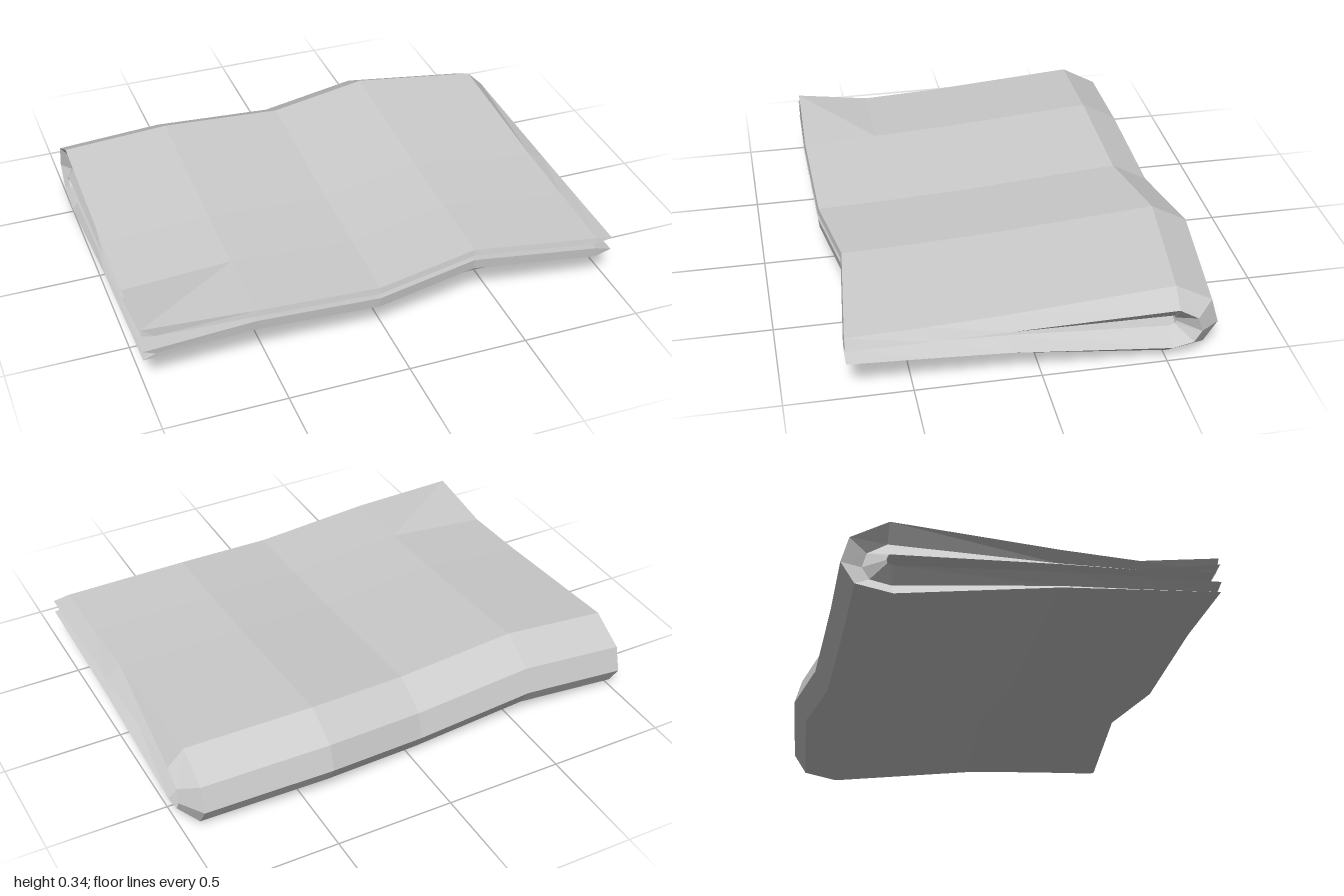
import * as THREE from 'three';

// Fold cross-section as [z, y], from the upper front edge round the back fold to the lower front edge
const OUTER = [[0.75, 0.23], [0.43, 0.24], [0.12, 0.255], [-0.54, 0.305], [-0.69, 0.222], [-0.72, 0.115],
  [-0.665, 0.03], [-0.52, 0.003], [0.12, 0.093], [0.43, 0.115], [0.75, 0.137]];
const INNER = [[0.755, 0.205], [0.43, 0.2], [0.12, 0.193], [-0.54, 0.165], [-0.545, 0.155], [-0.55, 0.14],
  [-0.545, 0.128], [-0.52, 0.12], [0.12, 0.16], [0.43, 0.172], [0.755, 0.182]];

// Stations across the width: [x, lift in y, shift in z]
const STATIONS = [[-1, 0, 0], [-0.55, 0.035, 0.012], [-0.03, 0, 0.003], [0.4, 0.04, -0.05], [0.93, 0, 0]];
const RIDGE_LEFT = -0.95, RIDGE_RIGHT = 1;

function point([z, y], [x, dy, dz], k) {
  const flap = k === 0 && x === -1 ? 0.055 : 0; // curled upper corner
  return new THREE.Vector3(x, y + dy + flap, z + dz);
}

function foldedCloth() {
  const n = STATIONS.length, last = OUTER.length - 1;

  // One closed ring per profile point: outer sheet, right ridge, inner sheet back, left ridge
  const rings = OUTER.map((o, k) => {
    const outer = STATIONS.map(s => point(o, s, k));
    const inner = STATIONS.map(s => point(INNER[k], s, k));
    const ridge = (j, x) => outer[j].clone().lerp(inner[j], 0.5).setX(x);
    return [...outer, ridge(n - 1, RIDGE_RIGHT), ...inner.reverse(), ridge(0, RIDGE_LEFT)];
  });

  const positions = [];
  const tri = (...pts) => pts.forEach(p => positions.push(p.x, p.y, p.z));
  const quad = (a, b, c, d) => { tri(a, b, c); tri(a, c, d); };

  // Sheet surfaces and edge bevels
  const size = 2 * n + 2;
  for (let k = 0; k < last; k++) {
    for (let j = 0; j < size; j++) {
      const m = (j + 1) % size;
      quad(rings[k][j], rings[k][m], rings[k + 1][m], rings[k + 1][j]);
    }
  }

  // Front edges of the upper and lower layers
  for (const k of [0, last]) {
    const ring = rings[k];
    const face = (a, b, c) => (k === 0 ? tri(a, b, c) : tri(a, c, b));
    const out = j => ring[j], inn = j => ring[2 * n - j];
    const left = ring[size - 1], right = ring[n];
    face(out(0), left, out(1));
    face(left, inn(0), inn(1));
    face(left, inn(1), out(1));
    for (let j = 1; j < n - 1; j++) {
      face(out(j), inn(j), inn(j + 1));
      face(out(j), inn(j + 1), out(j + 1));
    }
    face(out(n - 1), inn(n - 1), right);
  }

  const geometry = new THREE.BufferGeometry();
  geometry.setAttribute('position', new THREE.Float32BufferAttribute(positions, 3));
  geometry.computeVertexNormals();
  return geometry;
}

export function createModel() {
  const group = new THREE.Group();
  group.name = 'foldedBlanket';
  const material = new THREE.MeshStandardMaterial({ color: 0xcccccc, flatShading: true });
  const cloth = new THREE.Mesh(foldedCloth(), material);
  cloth.name = 'foldedCloth';
  group.add(cloth);
  return group;
}
